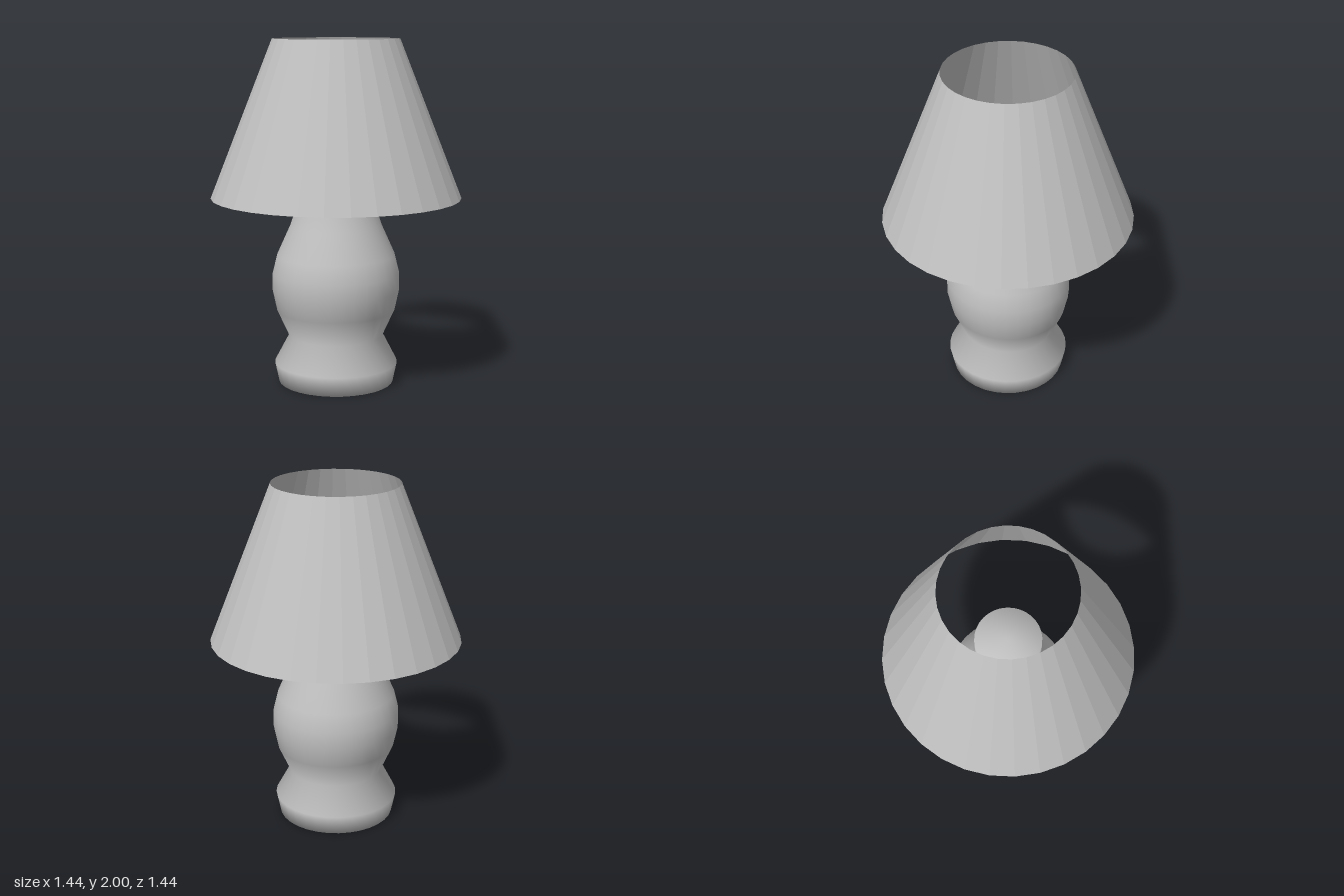
import * as THREE from 'three';

export function createModel() {
  const model = new THREE.Group();
  model.name = 'tableLamp';

  const grey = new THREE.MeshStandardMaterial({ color: 0xc0c0c0 });
  grey.name = 'light grey';
  const shadeGrey = grey.clone();
  shadeGrey.name = 'light grey shade';
  shadeGrey.flatShading = true;
  shadeGrey.side = THREE.DoubleSide;

  // Turned base: foot, waist, belly and neck, closed at both ends
  const profile = [
    [0, 0], [0.336, 0], [0.36, 0.115], [0.27, 0.277], [0.338, 0.43],
    [0.363, 0.55], [0.363, 0.65], [0.338, 0.755], [0.263, 0.925],
    [0.204, 1.1], [0.189, 1.2], [0.189, 1.33], [0, 1.33],
  ].map(([r, y]) => new THREE.Vector2(r, y));
  const bodyGeometry = new THREE.LatheGeometry(profile, 32);

  // The belly is slightly wider than deep, while foot and neck end stay round
  const pos = bodyGeometry.attributes.position;
  for (let i = 0; i < pos.count; i++) {
    const y = pos.getY(i);
    if (y > 0.2 && y < 1.15) pos.setX(i, pos.getX(i) * 1.033);
  }
  const body = new THREE.Mesh(bodyGeometry, grey);
  body.name = 'lampBody';
  model.add(body);

  // Faceted shade, a thin cone open at top and bottom
  const shade = new THREE.Mesh(
    new THREE.CylinderGeometry(0.364, 0.722, 0.905, 32, 1, true), shadeGrey);
  shade.name = 'lampShade';
  shade.position.y = 2 - 0.905 / 2;
  model.add(shade);

  return model;
}
